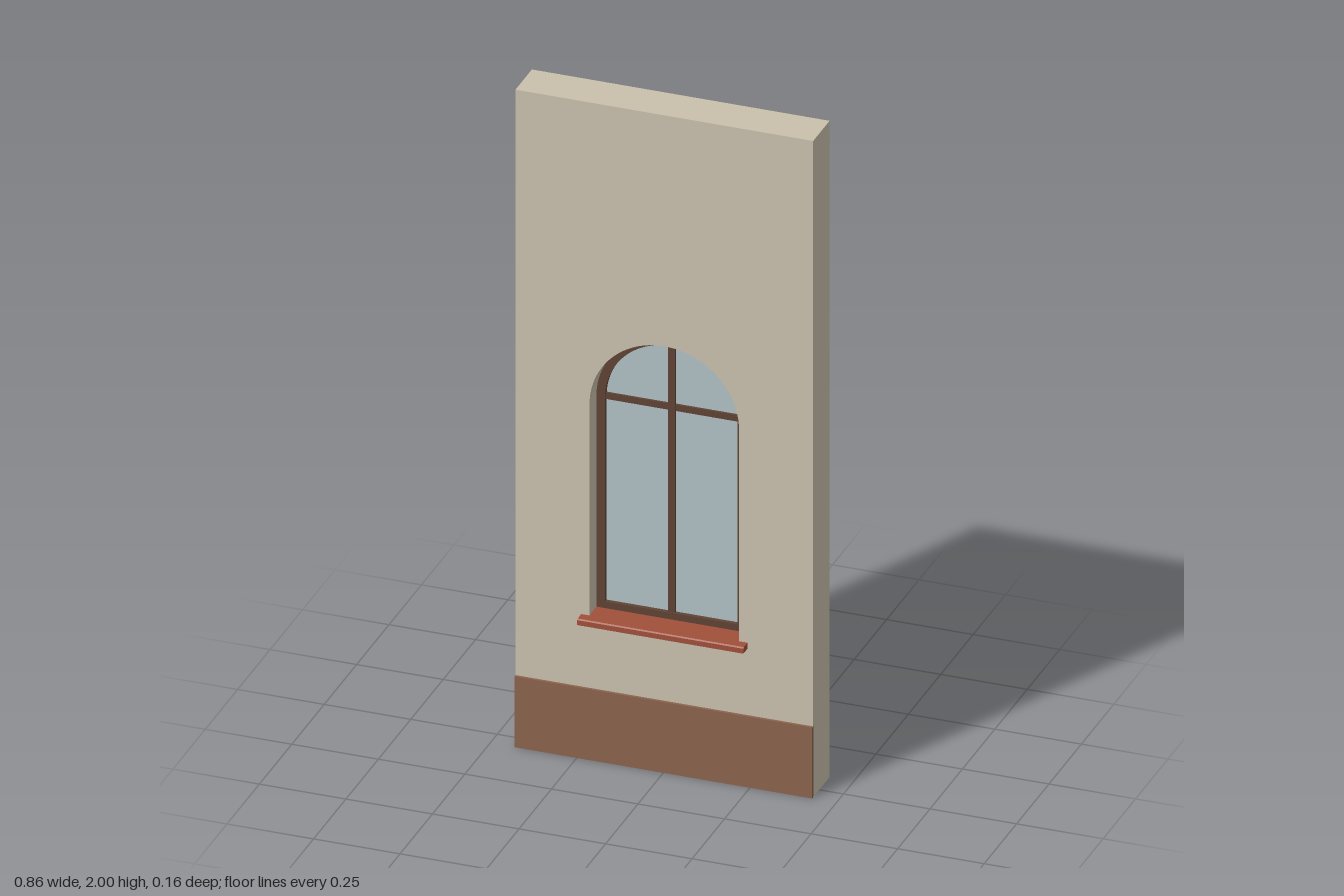
import * as THREE from 'three';
import { toCreasedNormals } from 'three/addons/utils/BufferGeometryUtils.js';

const material = (name, color) => {
  const m = new THREE.MeshStandardMaterial({ color });
  m.name = name;
  return m;
};

// Round-headed outline: straight jambs topped by a semicircle
function archOutline(target, halfWidth, bottom, spring) {
  target.moveTo(-halfWidth, bottom);
  target.lineTo(halfWidth, bottom);
  target.lineTo(halfWidth, spring);
  target.absarc(0, spring, halfWidth, 0, Math.PI, false);
  target.closePath();
  return target;
}

// Extrude a front-facing shape between two depths, keeping the arch smooth
function slab(shape, zBack, zFront) {
  const geometry = new THREE.ExtrudeGeometry(shape, {
    depth: zFront - zBack, bevelEnabled: false, curveSegments: 32,
  });
  geometry.translate(0, 0, zBack);
  return toCreasedNormals(geometry, 0.5);
}

export function createModel() {
  const model = new THREE.Group();
  model.name = 'wallWithArchedWindow';

  const plaster = material('plaster', 0xc9bfac);
  const plinthBrown = material('plinthBrown', 0x8b644c);
  const terracotta = material('terracotta', 0xa0503a);
  const darkWood = material('darkWood', 0x5f4434);
  const paleGlass = material('paleGlass', 0xb0bfc4);

  const add = (name, geometry, mat, parent = model) => {
    const mesh = new THREE.Mesh(geometry, mat);
    mesh.name = name;
    parent.add(mesh);
    return mesh;
  };
  const box = (name, [x0, x1], [y0, y1], [z0, z1], mat, parent) => {
    const mesh = add(name, new THREE.BoxGeometry(x1 - x0, y1 - y0, z1 - z0), mat, parent);
    mesh.position.set((x0 + x1) / 2, (y0 + y1) / 2, (z0 + z1) / 2);
  };

  const W = 0.43, BACK = -0.08, FRONT = 0.047;
  const R = 0.216, SPRING = 1.08, BOTTOM = 0.433;

  // Wall with the arched opening
  const wall = new THREE.Shape();
  wall.moveTo(-W, 0).lineTo(W, 0).lineTo(W, 2).lineTo(-W, 2).closePath();
  wall.holes.push(archOutline(new THREE.Path(), R, BOTTOM, SPRING));
  add('wall', slab(wall, BACK, FRONT), plaster);

  // Plinth band along the foot of the front
  box('plinth', [-W, W], [0, 0.216], [FRONT - 0.005, 0.055], plinthBrown);

  // Sill: side profile with a slightly sloping top, running back to the frame
  const profile = new THREE.Shape();
  profile.moveTo(-0.01, 0.418).lineTo(0.078, 0.418).lineTo(0.078, 0.433)
    .lineTo(0.074, 0.436).lineTo(-0.01, 0.438).closePath();
  const sill = new THREE.ExtrudeGeometry(profile, { depth: 0.48, bevelEnabled: false });
  sill.rotateY(-Math.PI / 2).translate(0.24, 0, 0);
  add('sill', sill, terracotta);

  // Window: outer frame, glazing bars and pane
  const win = new THREE.Group();
  win.name = 'window';
  model.add(win);
  const frame = archOutline(new THREE.Shape(), R, BOTTOM, SPRING);
  frame.holes.push(archOutline(new THREE.Path(), 0.191, 0.458, SPRING));
  add('frame', slab(frame, -0.036, -0.006), darkWood, win);
  box('mullion', [-0.01, 0.01], [0.45, 1.28], [-0.032, -0.01], darkWood, win);
  box('transom', [-0.2, 0.2], [1.073, 1.092], [-0.031, -0.011], darkWood, win);
  const pane = archOutline(new THREE.Shape(), 0.2, 0.45, SPRING);
  add('glass', slab(pane, -0.024, -0.018), paleGlass, win);

  return model;
}
